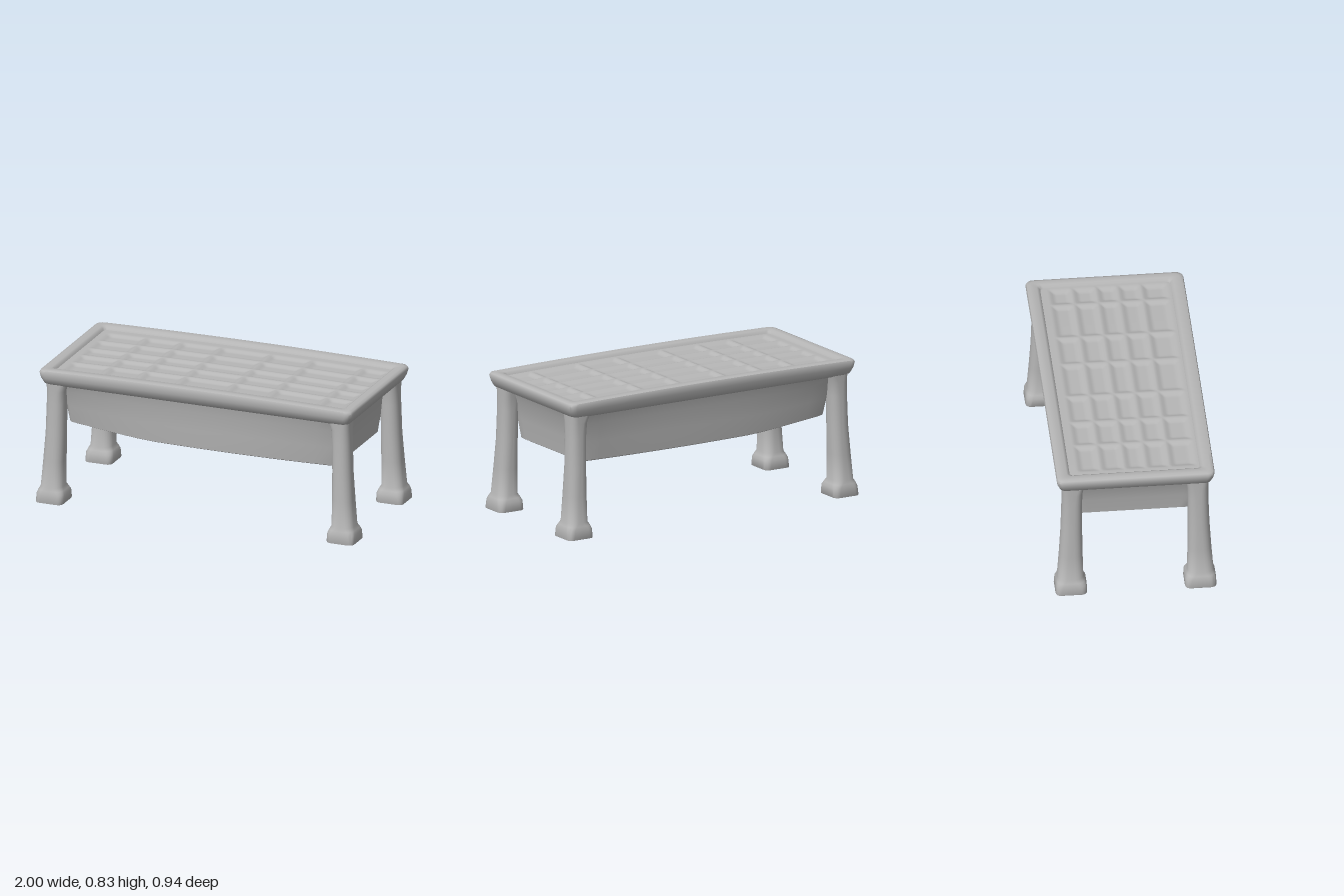
import * as THREE from 'three';
import { toCreasedNormals } from 'three/addons/utils/BufferGeometryUtils.js';

// Rounded rectangle outline, with extra points along the sides
function outline(x0, x1, z0, z1, r, sub) {
  const corners = [[x1 - r, z1 - r], [x0 + r, z1 - r], [x0 + r, z0 + r], [x1 - r, z0 + r]];
  const pts = [];
  corners.forEach(([cx, cz], q) => {
    for (let k = 0; k <= 5; k++) {
      const a = (q + k / 5) * Math.PI / 2;
      pts.push([cx + r * Math.cos(a), cz + r * Math.sin(a)]);
    }
    const [ex, ez] = pts[pts.length - 1];
    const [nx, nz] = corners[(q + 1) % 4];
    const b = (q + 1) * Math.PI / 2;
    const sx = nx + r * Math.cos(b), sz = nz + r * Math.sin(b);
    for (let k = 1; k < sub; k++) pts.push([ex + (sx - ex) * k / sub, ez + (sz - ez) * k / sub]);
  });
  return pts;
}

// Skin through levels [y, x0, x1, z0, z1, radius]; warp bends the points
function loft(levels, { sub = 2, capTop = true, capBottom = true, warp = (x, y, z) => [x, y, z], crease = 0.7 } = {}) {
  const pos = [], idx = [];
  let n = 0;
  for (const [y, x0, x1, z0, z1, r] of levels) {
    const ring = outline(x0, x1, z0, z1, r, sub);
    n = ring.length;
    for (const [x, z] of ring) pos.push(...warp(x, y, z));
  }
  for (let i = 0; i < levels.length - 1; i++) {
    for (let j = 0; j < n; j++) {
      const a = i * n + j, b = i * n + (j + 1) % n;
      idx.push(a, a + n, b, b, a + n, b + n);
    }
  }
  const cap = (i, top) => {
    const [y, x0, x1, z0, z1] = levels[i];
    const c = pos.length / 3;
    pos.push(...warp((x0 + x1) / 2, y, (z0 + z1) / 2));
    for (let j = 0; j < n; j++) {
      const a = i * n + j, b = i * n + (j + 1) % n;
      idx.push(c, top ? b : a, top ? a : b);
    }
  };
  if (capBottom) cap(0, false);
  if (capTop) cap(levels.length - 1, true);
  const g = new THREE.BufferGeometry();
  g.setAttribute('position', new THREE.Float32BufferAttribute(pos, 3));
  g.setIndex(idx);
  return toCreasedNormals(g, crease);
}

const centred = (y, hx, hz, r) => [y, -hx, hx, -hz, hz, r];
const bow = (x) => 0.012 * (1 - x * x);

// Height of the slatted top: shallow cells between ridges
const colLines = [-0.87, -0.62, -0.4, -0.15, 0.16, 0.42, 0.74, 0.9];
const rowLines = [-0.335, -0.195, -0.055, 0.07, 0.205, 0.365];
function cellDip(v, lines, slope) {
  for (let i = 0; i < lines.length - 1; i++) {
    if (v > lines[i] && v < lines[i + 1]) {
      return Math.min(1, Math.max(0, Math.min(v - lines[i], lines[i + 1] - v) - 0.006) / slope);
    }
  }
  return 0;
}

export function createModel() {
  const model = new THREE.Group();
  const grey = new THREE.MeshStandardMaterial({ color: 0xb6b6b6 });
  grey.name = 'plain grey';
  const add = (name, geometry) => {
    const m = new THREE.Mesh(geometry, grey);
    m.name = name;
    model.add(m);
    return m;
  };

  // Rounded rim, open in the middle
  add('rim', loft([
    centred(0.715, 0.86, 0.36, 0.03),
    centred(0.718, 0.925, 0.415, 0.03),
    centred(0.732, 0.958, 0.442, 0.035),
    centred(0.765, 0.975, 0.456, 0.04),
    centred(0.797, 0.983, 0.461, 0.04),
    centred(0.81, 0.976, 0.456, 0.04),
    centred(0.815, 0.958, 0.438, 0.035),
    centred(0.813, 0.925, 0.398, 0.025),
    centred(0.805, 0.91, 0.383, 0.02),
    centred(0.775, 0.9, 0.373, 0.015),
  ], { sub: 12, capTop: false, warp: (x, y, z) => [x, y + (y > 0.76 ? bow(x) : 0), z], crease: 0.9 }));

  // Sunken panel with rows of shallow cells
  const panel = new THREE.PlaneGeometry(1.82, 0.766, 150, 76);
  panel.rotateX(-Math.PI / 2);
  const p = panel.attributes.position;
  for (let i = 0; i < p.count; i++) {
    const x = p.getX(i), z = p.getZ(i);
    const dip = Math.min(cellDip(x, colLines, 0.03), cellDip(z, rowLines, 0.03));
    p.setY(i, 0.793 + bow(x) - 0.013 * dip);
  }
  panel.computeVertexNormals();
  add('cellPanel', panel);

  // Deep apron box, bowed along its length, with a rising left end
  add('apron', loft([
    centred(0.428, 0.825, 0.315, 0.03),
    centred(0.436, 0.84, 0.33, 0.03),
    centred(0.55, 0.852, 0.352, 0.03),
    centred(0.66, 0.87, 0.37, 0.03),
    centred(0.73, 0.9, 0.395, 0.03),
  ], {
    sub: 16,
    warp: (x, y, z) => {
      const low = Math.max(0, (0.73 - y) / 0.3);
      const lift = Math.max(0, (-0.35 - x) / 0.49) * 0.035 - x * 0.008;
      return [x, y + low * lift, z * (1 + 0.13 * Math.max(0, 1 - (x / 0.84) ** 2) * (0.3 + 0.7 * low))];
    },
  }));

  // Four legs with swollen feet: [y, inner x, outer x, inner z, outer z, radius]
  const legLevels = [
    [0, 0.83, 0.998, 0.287, 0.468, 0.03],
    [0.006, 0.826, 1, 0.285, 0.47, 0.035],
    [0.055, 0.828, 0.997, 0.287, 0.467, 0.04],
    [0.075, 0.836, 0.99, 0.296, 0.462, 0.045],
    [0.095, 0.846, 0.98, 0.304, 0.455, 0.05],
    [0.25, 0.845, 0.969, 0.307, 0.444, 0.05],
    [0.42, 0.842, 0.958, 0.309, 0.434, 0.05],
    [0.6, 0.84, 0.952, 0.309, 0.428, 0.045],
    [0.68, 0.835, 0.95, 0.306, 0.427, 0.04],
    [0.74, 0.815, 0.95, 0.295, 0.43, 0.035],
  ];
  for (const [sz, zName] of [[1, 'front'], [-1, 'back']]) {
    for (const [sx, xName] of [[1, 'Left'], [-1, 'Right']]) {
      const span = (s, a, b) => (s > 0 ? [a, b] : [-b, -a]);
      add(`${zName}${xName}Leg`, loft(legLevels.map(([y, xi, xo, zi, zo, r]) =>
        [y, ...span(sx, xi, xo), ...span(sz, zi, zo), r])));
    }
  }
  return model;
}
